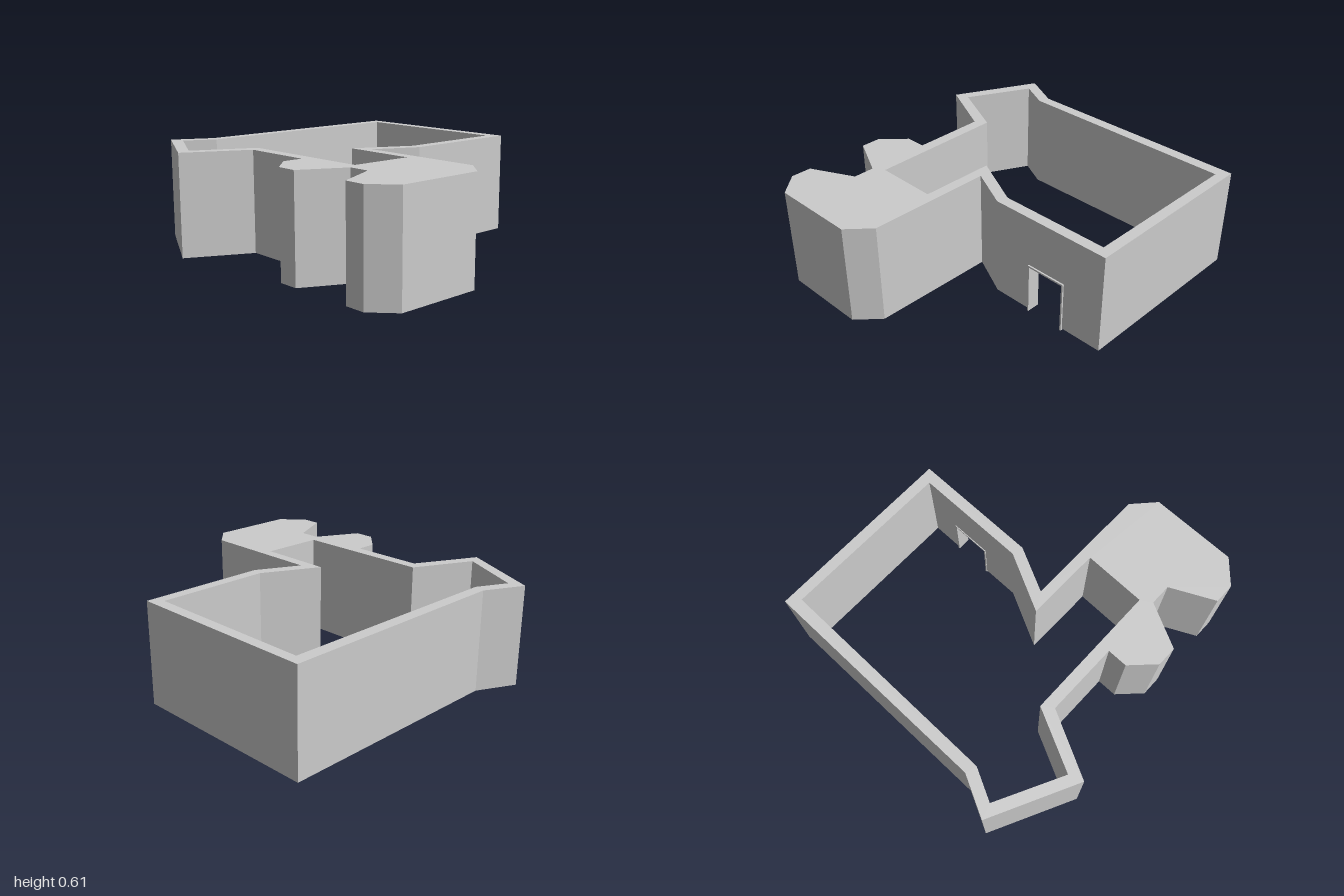
import * as THREE from 'three';

const BASE = 0.01, TOP = 0.61;
const DOOR = { x0: 0.43, x1: 0.68, top: 0.31 };

// Plan outlines as [x, z], clockwise seen from above
const outer = [
  [-0.69, -1], [-0.46, -0.885], [0.93, -0.885], [0.935, 0.25], [0.19, 0.25], [-0.065, 0.125],
  [-0.07, 0.87], [-0.19, 1], [-0.7, 1], [-0.82, 0.87], [-0.82, 0.75], [-0.565, 0.625],
  [-0.565, 0.5], [-0.82, 0.37], [-0.82, 0.25], [-0.69, 0.12], [-0.57, 0.12],
  [-0.57, -0.315], [-0.94, -0.5],
];
const inner = [
  [-0.66, -0.91], [-0.48, -0.82], [0.87, -0.815], [0.87, 0.185], [0.205, 0.185],
  [-0.125, 0.02], [-0.13, 0.465], [-0.5, 0.46], [-0.505, -0.36], [-0.855, -0.53],
];

const material = new THREE.MeshStandardMaterial({ color: 0xcccccc, flatShading: true, side: THREE.DoubleSide });

function add(parent, geometry, name) {
  const mesh = new THREE.Mesh(geometry, material);
  mesh.name = name;
  parent.add(mesh);
  return mesh;
}

// Vertical wall face from a to b, with a doorway notch if requested
function panel(a, b, hasDoor) {
  const d = new THREE.Vector3(b[0] - a[0], 0, b[1] - a[1]);
  const length = d.length();
  d.normalize();
  const pts = [[0, BASE]];
  if (hasDoor) {
    const u = [DOOR.x0, DOOR.x1].map((x) => (x - a[0]) / d.x).sort((p, q) => p - q);
    pts.push([u[0], BASE], [u[0], DOOR.top], [u[1], DOOR.top], [u[1], BASE]);
  }
  pts.push([length, BASE], [length, TOP], [0, TOP]);
  const up = new THREE.Vector3(0, 1, 0);
  const matrix = new THREE.Matrix4()
    .makeBasis(d, up, new THREE.Vector3().crossVectors(d, up))
    .setPosition(a[0], 0, a[1]);
  return new THREE.ShapeGeometry(new THREE.Shape(pts.map((p) => new THREE.Vector2(...p)))).applyMatrix4(matrix);
}

// Horizontal face from a plan outline, facing up or down
function plate(points, y, facingUp, hole) {
  const s = facingUp ? -1 : 1;
  const flat = (list) => list.map(([x, z]) => new THREE.Vector2(x, s * z));
  const shape = new THREE.Shape(flat(points));
  if (hole) shape.holes.push(new THREE.Path(flat(hole)));
  return new THREE.ShapeGeometry(shape).rotateX(s * Math.PI / 2).translate(0, y, 0);
}

// All vertical faces of a closed outline
function wallLoop(points, doorEdge, reversed, name) {
  const group = new THREE.Group();
  group.name = name;
  points.forEach((p, i) => {
    const q = points[(i + 1) % points.length];
    add(group, reversed ? panel(q, p, i === doorEdge) : panel(p, q, i === doorEdge), name + 'Panel');
  });
  return group;
}

export function createModel() {
  const model = new THREE.Group();
  model.name = 'walledBuilding';

  model.add(wallLoop(outer, 3, true, 'outerWall'));
  model.add(wallLoop(inner, 3, false, 'innerWall'));
  add(model, plate(outer, TOP, true, inner), 'wallTop');

  // Undersides of the walls either side of the doorway; the front block stays hollow
  const longFooting = [
    ...outer.slice(16), ...outer.slice(0, 4), [DOOR.x1, 0.25],
    [DOOR.x1, 0.185], ...inner.slice(0, 4).reverse(), inner[9], inner[8], [-0.503, 0.12],
  ];
  add(model, plate(longFooting, BASE, false), 'longFooting');
  const shortFooting = [[DOOR.x0, 0.25], outer[4], inner[4], [DOOR.x0, 0.185]];
  add(model, plate(shortFooting, BASE, false), 'shortFooting');

  // Thin door frame lining the opening
  const frame = new THREE.Group();
  frame.name = 'doorFrame';
  const t = 0.01, depth = 0.08, z = 0.22;
  for (const x of [DOOR.x0 + t / 2, DOOR.x1 - t / 2]) {
    add(frame, new THREE.BoxGeometry(t, DOOR.top, depth), 'doorJamb').position.set(x, DOOR.top / 2, z);
  }
  add(frame, new THREE.BoxGeometry(DOOR.x1 - DOOR.x0 - 2 * t, t, depth), 'doorLintel')
    .position.set((DOOR.x0 + DOOR.x1) / 2, DOOR.top - t / 2, z);
  model.add(frame);

  return model;
}
